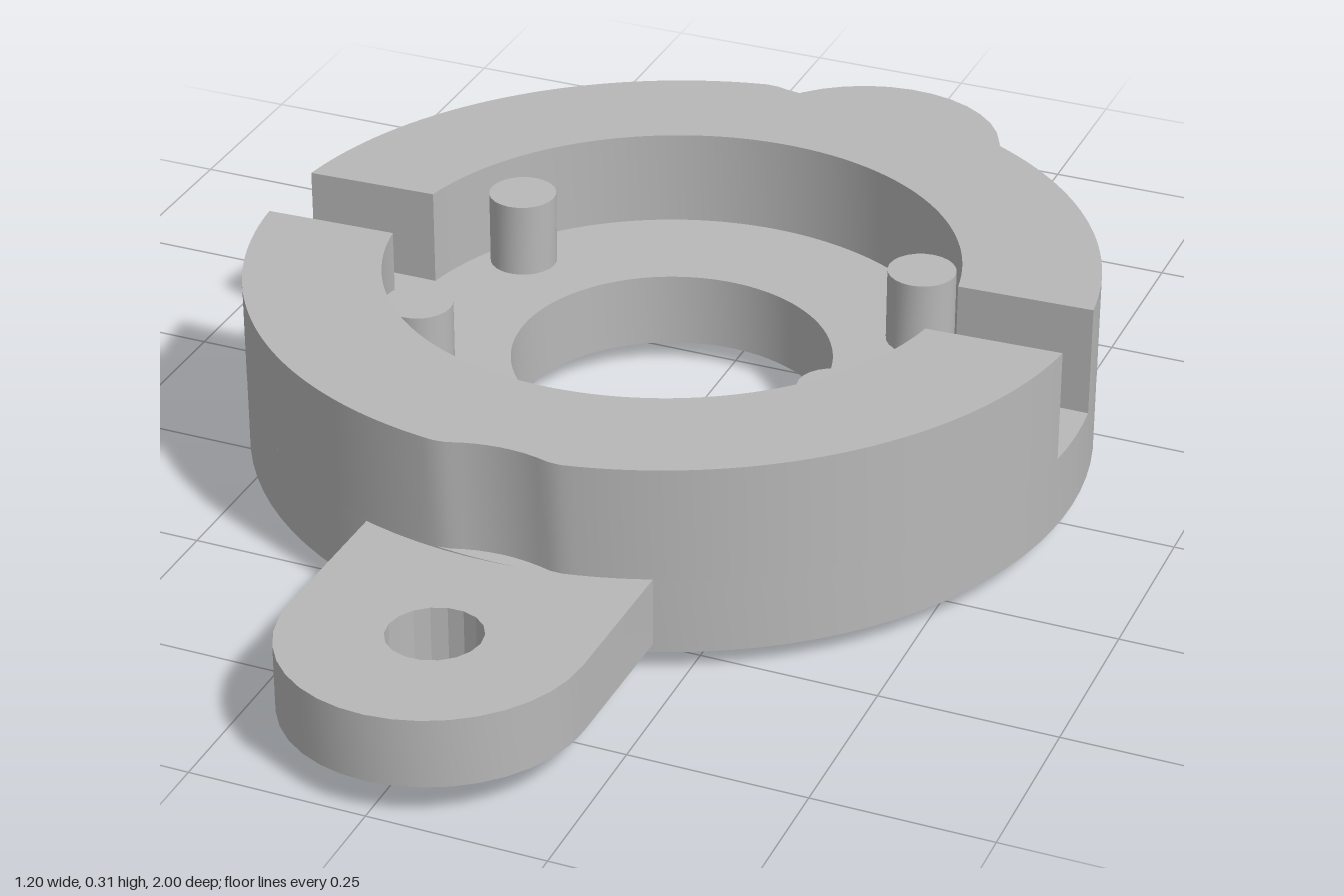
import * as THREE from 'three';
import { toCreasedNormals } from 'three/addons/utils/BufferGeometryUtils.js';

const R = 0.6, RECESS = 0.406, BORE = 0.228;   // body radii
const BASE = 0.03, FLOOR = 0.14;               // underside and recess floor heights
const SLOT = 0.067;                            // half width of the side slots
const EAR_D = 0.791, EAR_R = 0.207;            // ear centre distance and radius

// Extrude a plan shape upward from y0; plan +y becomes -z (the back)
function slab(shape, y0, height, segments = 48) {
  const g = new THREE.ExtrudeGeometry(shape, { depth: height, bevelEnabled: false, curveSegments: segments });
  return g.rotateX(-Math.PI / 2).translate(0, y0, 0);
}

// Set each vertex height by a rule
function reshape(g, rule) {
  const p = g.attributes.position;
  for (let i = 0; i < p.count; i++) p.setY(i, rule(p.getX(i), p.getY(i), p.getZ(i)));
  return g;
}

function circle(x, y, r) {
  return new THREE.Path().absarc(x, y, r, 0, Math.PI * 2, true);
}

// Half ring wall, with a shallow scallop clearing the ear screw
function wallShape() {
  const pts = [], n = 96, clear = 0.212;
  const a = Math.asin(SLOT / R), b = Math.asin(SLOT / RECESS);
  for (let i = 0; i <= n; i++) {
    const t = a + (Math.PI - 2 * a) * i / n;
    const c = EAR_D * Math.cos(t);
    const under = clear * clear - c * c;
    const r = Math.sin(t) > 0 && under > 0 ? Math.min(R, EAR_D * Math.sin(t) - Math.sqrt(under)) : R;
    pts.push(new THREE.Vector2(r * Math.cos(t), r * Math.sin(t)));
  }
  for (let i = 0; i <= 64; i++) {
    const t = Math.PI - b - (Math.PI - 2 * b) * i / 64;
    pts.push(new THREE.Vector2(RECESS * Math.cos(t), RECESS * Math.sin(t)));
  }
  return new THREE.Shape(pts);
}

// Mounting ear: straight sides, faceted round end, screw hole
function earShape() {
  const s = new THREE.Shape();
  s.moveTo(-EAR_R, 0.37);
  s.lineTo(EAR_R, 0.37);
  s.absarc(0, EAR_D, EAR_R, 0, Math.PI, false);
  s.closePath();
  s.holes.push(circle(0, EAR_D, 0.065));
  return s;
}

export function createModel() {
  const group = new THREE.Group();
  const grey = new THREE.MeshStandardMaterial({ color: 0xb8b8b8 });
  grey.name = 'grey';

  const add = (name, geometry, crease = 0.5) => {
    const mesh = new THREE.Mesh(toCreasedNormals(geometry, crease), grey);
    mesh.name = name;
    mesh.position.z = -0.004;
    group.add(mesh);
  };

  // Base disc with the central bore
  const disc = new THREE.Shape().absarc(0, 0, R, 0, Math.PI * 2, false);
  disc.holes.push(circle(0, 0, BORE));
  add('baseDisc', slab(disc, BASE, FLOOR - BASE));

  for (const [side, turn] of [['back', 0], ['front', Math.PI]]) {
    // Ring wall with a slightly slanted top
    const wall = slab(wallShape(), FLOOR, 0.1).rotateY(turn);
    add(side + 'Wall', reshape(wall, (x, y, z) => (y > FLOOR + 0.05 ? 0.292 + 0.021 * x + 0.021 * z : y)));

    // Ear lying on a slanted plane
    const ear = slab(earShape(), 0.025, 0.1, 9).rotateY(turn);
    add(side + 'Ear', reshape(ear, (x, y, z) => y + 0.02 * x + 0.024 * z), 0.3);

    // Locating pins in the recess
    for (const [hand, sx] of [['Left', 1], ['Right', -1]]) {
      const pin = new THREE.CylinderGeometry(0.049, 0.049, 0.12, 24);
      pin.translate(sx * 0.309, 0.19, turn ? 0.178 : -0.178);
      add(side + hand + 'Pin', pin);
    }
  }
  return group;
}
